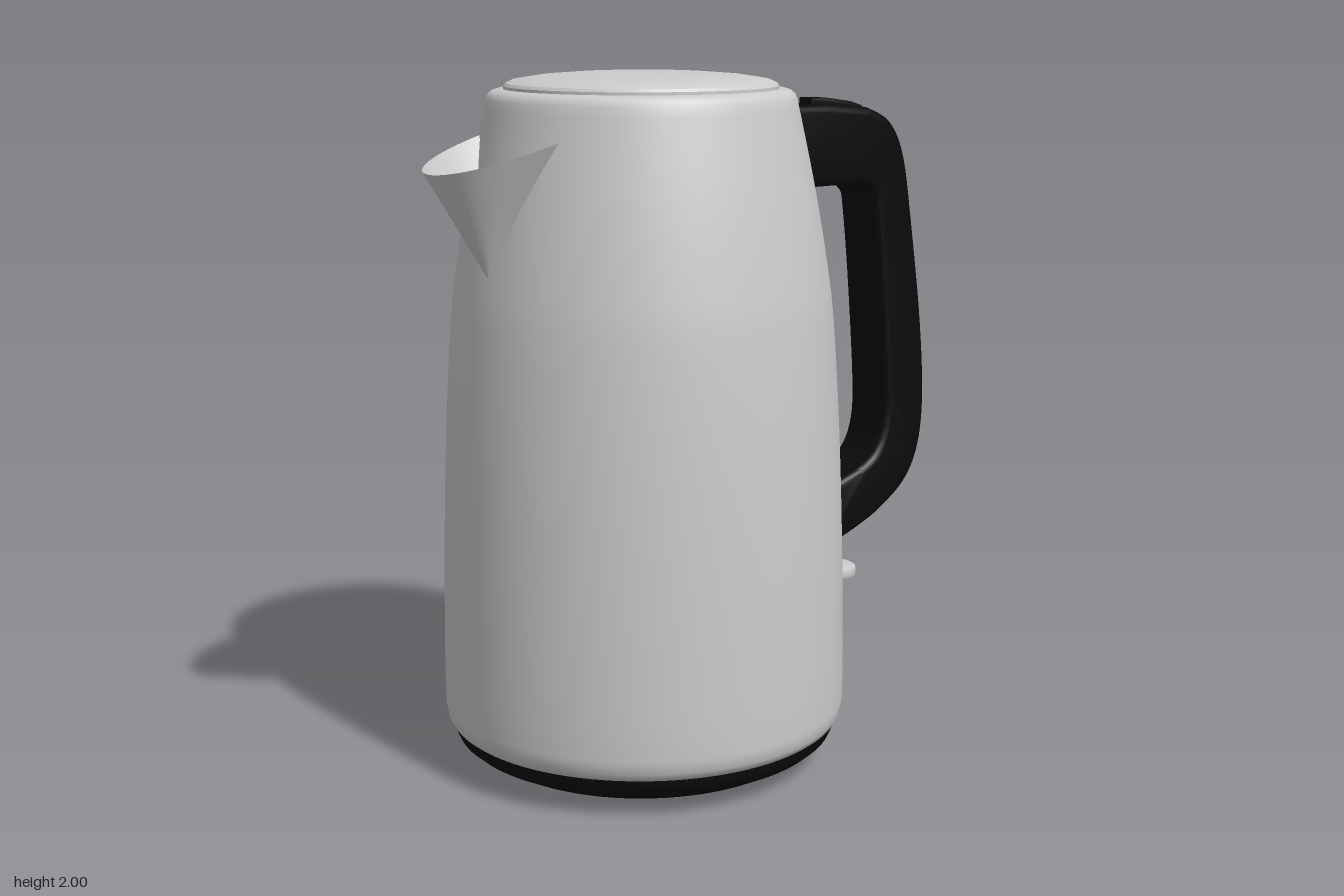
import * as THREE from 'three';
import { toCreasedNormals } from 'three/addons/utils/BufferGeometryUtils.js';

const AXIS = -0.19; // x of the jug's axis
const v2 = (p) => p.map(([x, y]) => new THREE.Vector2(x, y));
const grey = new THREE.MeshStandardMaterial({ color: 0xcccccc });
const greyThin = new THREE.MeshStandardMaterial({ color: 0xcccccc, side: THREE.DoubleSide });
const black = new THREE.MeshStandardMaterial({ color: 0x0a0a0a });

function add(group, name, geometry, material) {
  const mesh = new THREE.Mesh(geometry, material);
  mesh.name = name;
  group.add(mesh);
  return mesh;
}

// Revolved part around the jug's axis, profile as [radius, y] from bottom to top
function turned(group, name, profile, material, crease = 0.5) {
  const geo = toCreasedNormals(new THREE.LatheGeometry(v2(profile), 96), crease);
  add(group, name, geo, material).position.x = AXIS;
}

// Side outline in x/y extruded symmetrically in z with rounded edges
function slab(outline, halfWidth, bevel) {
  const geo = new THREE.ExtrudeGeometry(new THREE.Shape(outline), {
    depth: 2 * (halfWidth - bevel), bevelEnabled: true, bevelSize: bevel,
    bevelThickness: bevel, bevelOffset: -bevel, bevelSegments: 4,
  });
  geo.translate(0, 0, -(halfWidth - bevel));
  return geo;
}

const smooth = (points, n) => new THREE.SplineCurve(v2(points)).getPoints(n);

export function createModel() {
  const kettle = new THREE.Group();
  kettle.name = 'kettle';

  // Jug wall with rounded shoulder
  const wall = smooth([[0.587, 0.17], [0.588, 0.3], [0.581, 0.65], [0.567, 1.0], [0.547, 1.3],
    [0.527, 1.46], [0.489, 1.68], [0.437, 1.925]], 40).map((p) => [p.x, p.y]);
  turned(kettle, 'body', [[0, 0.115], [0.56, 0.115], [0.573, 0.125], [0.582, 0.142], ...wall,
    [0.431, 1.938], [0.42, 1.947], [0.405, 1.952], [0, 1.952]], grey, 0.9);

  // Slightly domed lid
  turned(kettle, 'lid', [[0.386, 1.945], [0.386, 1.96], [0.38, 1.968], [0.36, 1.977],
    [0.29, 1.988], [0.2, 1.995], [0.1, 1.999], [0, 2.0]], grey);

  // Dark foot, stepped in towards the ground
  turned(kettle, 'base', [[0, 0], [0.36, 0.002], [0.42, 0.01], [0.47, 0.028], [0.53, 0.06],
    [0.553, 0.08], [0.562, 0.1], [0.562, 0.125], [0, 0.125]], black, 0.6);

  // Open half-cone spout: curved rim running down to a point on the wall
  const apex = [-0.712, 1.455, 0], n = 32, pos = [], idx = [];
  for (let i = 0; i <= n; i++) {
    const t = -Math.PI / 2 + (Math.PI * i) / n, c = Math.cos(t);
    pos.push(-0.61 - 0.28 * c, 1.83 - 0.08 * c, 0.187 * Math.sin(t), ...apex);
    if (i < n) idx.push(2 * i, 2 * i + 1, 2 * i + 2);
  }
  const spout = new THREE.BufferGeometry();
  spout.setAttribute('position', new THREE.Float32BufferAttribute(pos, 3));
  spout.setIndex(idx);
  spout.computeVertexNormals();
  add(kettle, 'spout', spout, greyThin);

  // Mounting strip down the wall, narrowing towards the top
  const outer = smooth([[0.473, 0.32], [0.474, 0.6], [0.46, 1.0], [0.43, 1.35], [0.388, 1.62], [0.322, 1.92]], 24);
  const inner = outer.map((p) => new THREE.Vector2(p.x - 0.15, p.y)).reverse();
  const strip = slab([...outer, ...inner], 0.113, 0.022);
  const sp = strip.attributes.position;
  for (let i = 0; i < sp.count; i++) {
    const k = (sp.getY(i) - 0.32) / 1.6;
    sp.setZ(i, sp.getZ(i) * (1 - 0.24 * k));
  }
  add(kettle, 'handleMount', toCreasedNormals(strip, 0.6), grey);

  // Raised water gauge on the strip
  const gaugeOuter = smooth([[0.491, 0.78], [0.48, 1.0], [0.451, 1.35], [0.403, 1.66]], 16);
  const gaugeInner = gaugeOuter.map((p) => new THREE.Vector2(p.x - 0.05, p.y)).reverse();
  add(kettle, 'waterGauge', toCreasedNormals(slab([...gaugeOuter, ...gaugeInner], 0.055, 0.008), 0.6), grey);

  // Handle loop
  const grip = smooth([[0.62, 1.872], [0.715, 1.825], [0.775, 1.72], [0.815, 1.52], [0.865, 1.2],
    [0.885, 0.95], [0.868, 0.79], [0.81, 0.68], [0.7, 0.6], [0.6, 0.555]], 48);
  const palm = smooth([[0.6, 0.742], [0.67, 0.785], [0.708, 0.86], [0.716, 0.98], [0.692, 1.28],
    [0.662, 1.54], [0.643, 1.61], [0.58, 1.642]], 36);
  const handle = slab([...v2([[0.32, 1.885], [0.45, 1.885]]), ...grip,
    ...v2([[0.44, 0.5], [0.44, 0.69]]), ...palm, ...v2([[0.36, 1.642]])], 0.086, 0.022);
  add(kettle, 'handle', toCreasedNormals(handle, 0.7), black);

  // Lid release button on top of the handle
  const button = slab(v2([[0.43, 1.86], [0.43, 1.905], [0.5, 1.902], [0.6, 1.888], [0.642, 1.875], [0.642, 1.84]]), 0.03, 0.01);
  add(kettle, 'lidButton', toCreasedNormals(button, 0.6), black);

  // Switch paddle below the handle, wider at its outer end
  const paddle = new THREE.Shape();
  paddle.moveTo(0.44, -0.045);
  paddle.lineTo(0.49, -0.05);
  paddle.quadraticCurveTo(0.53, -0.085, 0.565, -0.083);
  paddle.bezierCurveTo(0.61, -0.08, 0.635, -0.05, 0.635, 0);
  paddle.bezierCurveTo(0.635, 0.05, 0.61, 0.08, 0.565, 0.083);
  paddle.quadraticCurveTo(0.53, 0.085, 0.49, 0.05);
  paddle.lineTo(0.44, 0.045);
  const lever = new THREE.ExtrudeGeometry(paddle, {
    depth: 0.02, bevelEnabled: true, bevelSize: 0.006, bevelThickness: 0.006,
    bevelOffset: -0.006, bevelSegments: 2, curveSegments: 10,
  });
  lever.rotateX(-Math.PI / 2);
  lever.translate(0, 0.402, 0);
  add(kettle, 'switchLever', toCreasedNormals(lever, 0.6), grey);

  return kettle;
}
